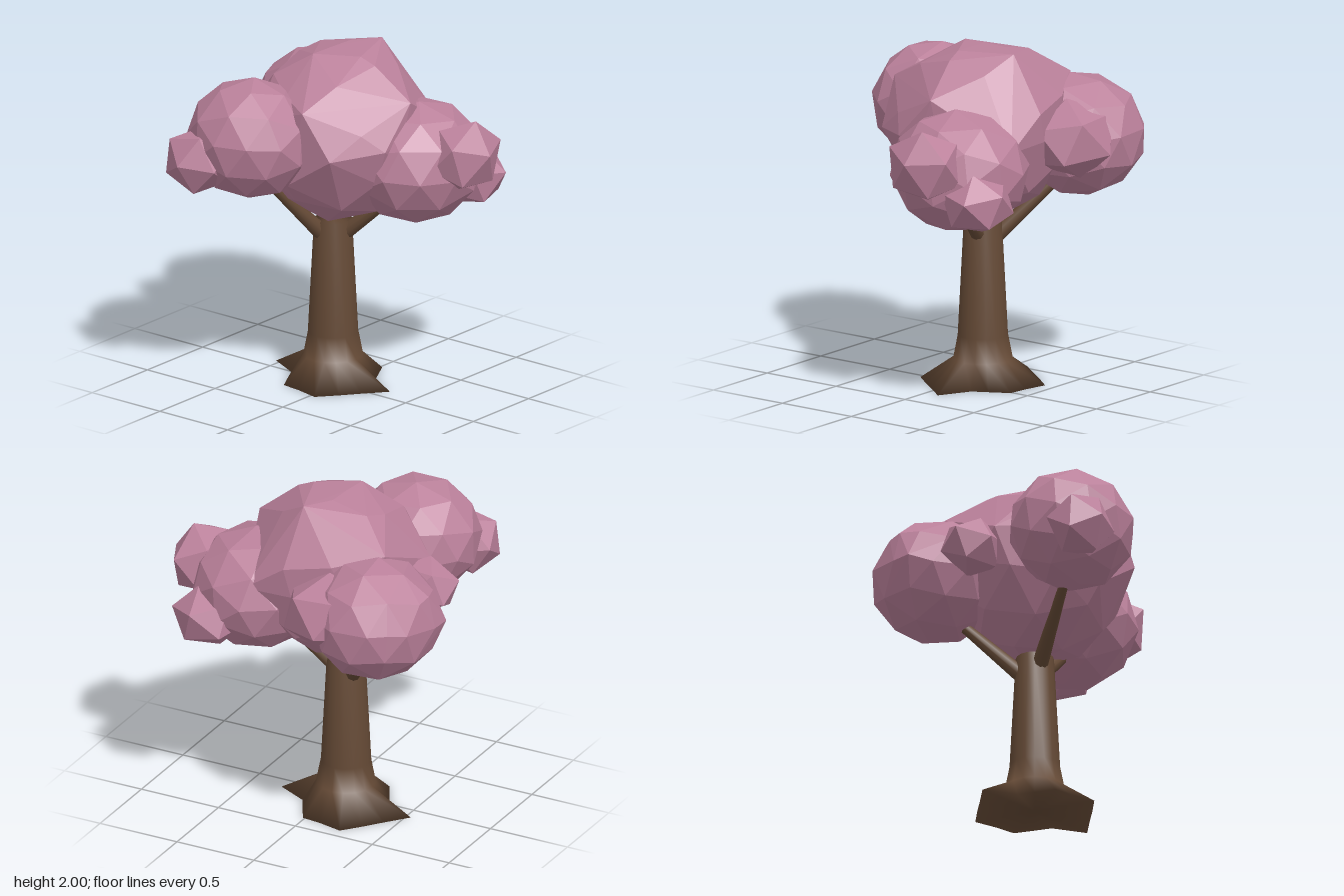
import * as THREE from 'three';
import { mergeVertices } from 'three/addons/utils/BufferGeometryUtils.js';
import { ConvexGeometry } from 'three/addons/geometries/ConvexGeometry.js';

const bark = new THREE.MeshStandardMaterial({ color: 0x644935 });
bark.name = 'brown bark';
const blossom = new THREE.MeshStandardMaterial({ color: 0xbb819b, flatShading: true });
blossom.name = 'pink blossom';

const TRUNK_X = -0.11, TRUNK_Z = -0.09;

// Trunk: turned profile whose bottom ring is pulled out into root points
function makeTrunk() {
  const profile = [[0, 0], [0.3, 0], [0.172, 0.14], [0.145, 0.28], [0.11, 0.96], [0, 0.96]];
  let geo = new THREE.LatheGeometry(profile.map(([r, y]) => new THREE.Vector2(r, y)), 16);
  const roots = [0.42, 0.34, 0.33, 0.37, 0.31, 0.32, 0.26, 0.25];
  const pos = geo.attributes.position;
  for (let i = 0; i < pos.count; i++) {
    const x = pos.getX(i), z = pos.getZ(i);
    if (pos.getY(i) > 0.01 || Math.hypot(x, z) < 0.1) continue;
    const step = Math.round(Math.atan2(z, x) / (Math.PI / 8));
    const r = roots[(step + 16) % 8], a = step * Math.PI / 8;
    pos.setXYZ(i, r * Math.cos(a), 0, r * Math.sin(a));
  }
  geo.deleteAttribute('uv');
  geo.deleteAttribute('normal');
  geo = mergeVertices(geo, 1e-4);
  geo.computeVertexNormals();
  const mesh = new THREE.Mesh(geo, bark);
  mesh.name = 'trunk';
  mesh.position.set(TRUNK_X, 0, TRUNK_Z);
  return mesh;
}

// Branch: tapered round limb between two points
function makeBranch(from, to) {
  const a = new THREE.Vector3(...from), b = new THREE.Vector3(...to);
  const dir = b.clone().sub(a);
  const mesh = new THREE.Mesh(new THREE.CylinderGeometry(0.026, 0.048, dir.length(), 10), bark);
  mesh.quaternion.setFromUnitVectors(new THREE.Vector3(0, 1, 0), dir.normalize());
  mesh.position.copy(a).add(b).multiplyScalar(0.5);
  mesh.name = 'branch';
  return mesh;
}

// Leaf clump: faceted ball, turned and fitted to a centre and half sizes;
// optional corner points bulge it into a less regular, broad-faceted hull
function makeClump(name, detail, centre, half, turn, corners = []) {
  const ball = new THREE.IcosahedronGeometry(1, detail);
  ball.applyMatrix4(new THREE.Matrix4().makeRotationFromEuler(new THREE.Euler(...turn)));
  ball.center();
  ball.computeBoundingBox();
  const m = ball.boundingBox.max;
  ball.scale(half[0] / m.x, half[1] / m.y, half[2] / m.z);
  ball.translate(...centre);
  ball.deleteAttribute('uv');
  ball.deleteAttribute('normal');
  const pos = mergeVertices(ball, 1e-4).attributes.position;
  const points = corners.map((c) => new THREE.Vector3(...c));
  for (let i = 0; i < pos.count; i++) points.push(new THREE.Vector3().fromBufferAttribute(pos, i));
  const mesh = new THREE.Mesh(new ConvexGeometry(points), blossom);
  mesh.name = name;
  return mesh;
}

export function createModel() {
  const tree = new THREE.Group();
  tree.name = 'tree';
  tree.add(makeTrunk());

  // Limbs reaching into the three outer clumps
  const branches = [
    [[-0.17, 0.85, -0.13], [-0.47, 1.26, -0.45]],
    [[-0.14, 0.89, -0.02], [-0.27, 1.27, 0.32]],
    [[-0.05, 0.88, -0.11], [0.27, 1.16, -0.2]],
  ];
  for (const [from, to] of branches) tree.add(makeBranch(from, to));

  // Bulges of the main clump: top ridge, shoulders, then sides
  const mainCorners = [
    [-0.12, 2, -0.1], [0, 2, -0.4], [0.2, 1.955, -0.09], [-0.33, 1.95, -0.25],
    [0.43, 1.77, -0.13], [0.07, 1.77, 0.41], [-0.35, 1.76, 0.22], [0.28, 1.5, -0.6],
    [-0.26, 1.73, -0.55], [0.43, 1.53, 0.1], [0.24, 1.5, 0.37], [-0.06, 1.3, 0.39],
    [0.02, 1.68, -0.61], [-0.53, 1.8, -0.4], [-0.58, 1.6, 0.06],
  ];
  const backCorners = [
    [-0.84, 1.64, -0.45], [-0.89, 1.45, -0.33], [-0.74, 1.5, -0.77], [-0.65, 1.72, -0.6], [-0.8, 1.4, -0.22],
  ];

  const crown = new THREE.Group();
  crown.name = 'crown';
  const clumps = [
    // large clumps
    ['mainClump', 1, [-0.07, 1.5, -0.1], [0.5, 0.5, 0.5], [0.25, 0.5, 0.15], mainCorners],
    ['frontClump', 1, [-0.305, 1.545, 0.41], [0.365, 0.35, 0.355], [0.4, 0.2, 0.3]],
    ['backClump', 1, [-0.51, 1.445, -0.48], [0.375, 0.355, 0.375], [0.2, 1.0, 0.5], backCorners],
    ['sideClump', 1, [0.35, 1.37, -0.28], [0.38, 0.36, 0.4], [0.6, 0.3, 0.1]],
    // small clumps
    ['frontTuft', 0, [-0.49, 1.435, 0.67], [0.19, 0.17, 0.18], [0.5, 0.1, 0.2]],
    ['sideTuft', 0, [0.7, 1.465, -0.3], [0.185, 0.215, 0.215], [0.1, 0.55, 0.2]],
    ['lowSideTuft', 0, [0.53, 1.25, -0.55], [0.21, 0.18, 0.2], [0.3, 0.9, 0.1]],
    ['backTuft', 0, [-0.28, 1.48, -0.62], [0.26, 0.235, 0.24], [0.2, 0.4, 0.5]],
    ['innerTuft', 0, [-0.61, 1.5, -0.08], [0.2, 0.16, 0.17], [0.4, 0.2, 0.6]],
  ];
  for (const c of clumps) crown.add(makeClump(...c));
  tree.add(crown);
  return tree;
}
